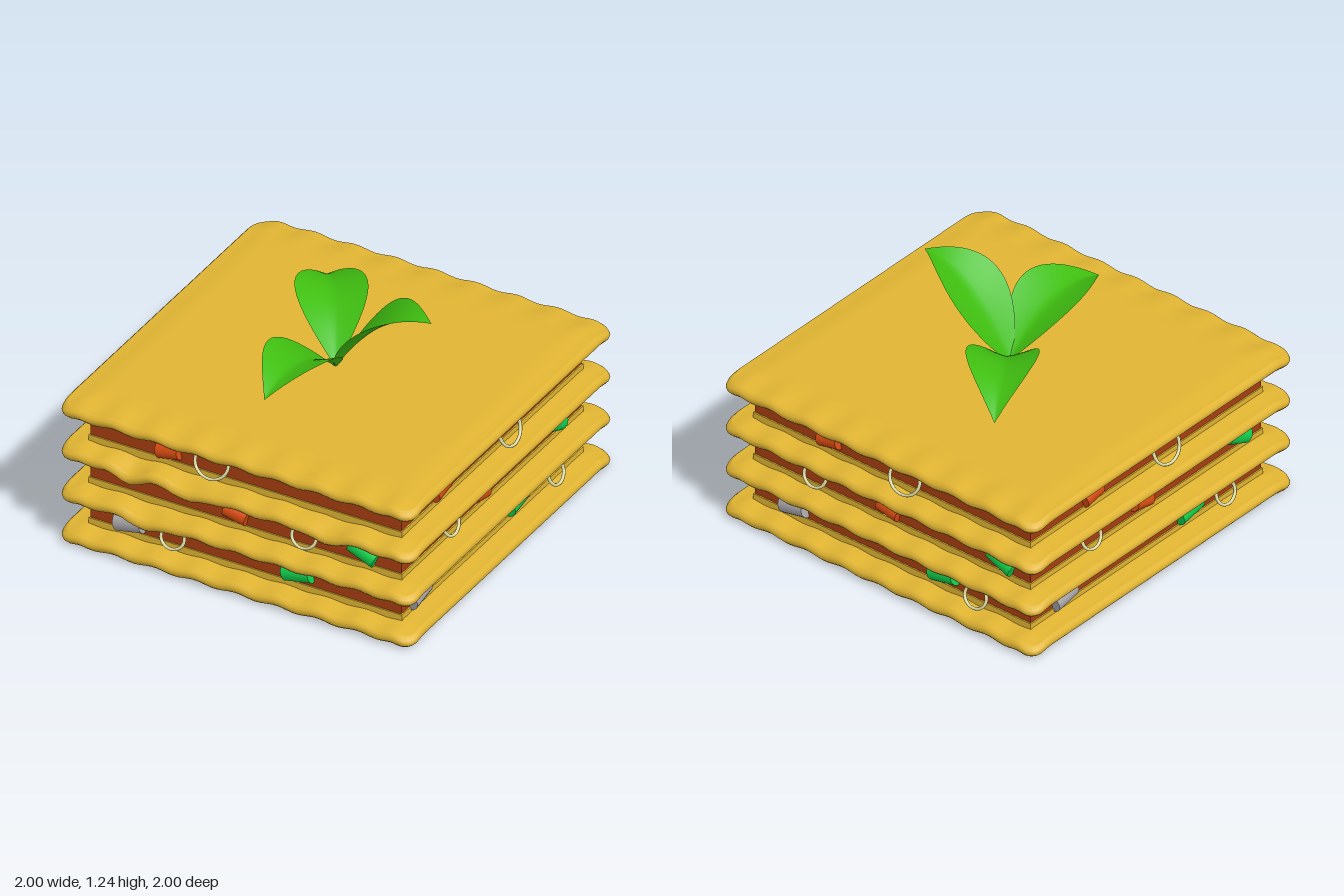
import * as THREE from 'three';
import { mergeVertices } from 'three/addons/utils/BufferGeometryUtils.js';
import { ParametricGeometry } from 'three/addons/geometries/ParametricGeometry.js';

const mat = (name, color, side = THREE.FrontSide) => {
  const m = new THREE.MeshStandardMaterial({ color, side });
  m.name = name;
  return m;
};

const ramp = (v, a, b) => THREE.MathUtils.smoothstep(Math.abs(v), a, b);

// Pasta sheet: rounded corners, drooping rim, ruffled front and back edges
function sheetGeometry(thickness, dips) {
  const box = new THREE.BoxGeometry(2, thickness, 2, 72, 4, 48);
  box.deleteAttribute('normal');
  box.deleteAttribute('uv');
  const geo = mergeVertices(box);
  const p = geo.attributes.position;
  const spread = (v) => Math.sign(v) * (1 - Math.pow(1 - Math.abs(v), 1.35));
  const r = 0.08;
  for (let i = 0; i < p.count; i++) {
    let x = spread(p.getX(i)), z = spread(p.getZ(i));
    const y = p.getY(i);
    const dx = Math.abs(x) - (1 - r), dz = Math.abs(z) - (1 - r);
    if (dx > 0 && dz > 0) {
      const k = Math.max(dx, dz) / Math.hypot(dx, dz);
      x = Math.sign(x) * (1 - r + dx * k);
      z = Math.sign(z) * (1 - r + dz * k);
    }
    const ex = ramp(x, 0.86, 1), ez = ramp(z, 0.86, 1);
    let drop = 0.014 * Math.max(ex, ez) + 0.022 * ex * ez;
    drop += 0.007 * (1 - Math.cos(x * 27)) * ramp(z, 0.75, 1) * (1 - ex);
    // deeper sagging folds along the front edge
    for (const d of dips) {
      if (z > 0) drop += 0.038 * ez * Math.max(0, 1 - Math.abs(x - d) / 0.13);
    }
    const inset = 1 - 0.018 * Math.pow(2 * y / thickness, 2);
    p.setXYZ(i, x * inset, y - drop, z * inset);
  }
  geo.computeVertexNormals();
  return geo;
}

// Arching leaf folded along its midrib; skew moves the widest point to the base
function leafGeometry(length, rise, bend, skew) {
  return new ParametricGeometry((u, v, out) => {
    const s = v * 2 - 1;
    const w = 0.18 * Math.max(0, Math.sin(Math.PI * Math.pow(u, skew)));
    const y = 0.81 + rise * u - bend * u * u;
    out.set(length * u, y + 0.4 * w * Math.pow(Math.abs(s), 1.3), -s * w);
  }, 24, 12);
}

export function createModel() {
  const model = new THREE.Group();
  const pasta = mat('pasta', 0xe0b432);
  const sauce = mat('sauce', 0xa63d10);
  const carrot = mat('carrot', 0xd64a10);
  const pepper = mat('green pepper', 0x10d04c);
  const onion = mat('grey vegetable', 0xaaa6aa);
  const ringMat = mat('pale ring', 0xdedaa2);
  const leafMat = mat('leaf', 0x3fbe10, THREE.DoubleSide);

  const add = (name, geo, material, parent = model) => {
    const mesh = new THREE.Mesh(geo, material);
    mesh.name = name;
    parent.add(mesh);
    return mesh;
  };

  // Pasta sheets
  const tops = [0.095, 0.33, 0.575, 0.82];
  const dips = [[], [-0.5], [-0.62, -0.26, 0.5], []];
  tops.forEach((top, i) => {
    add('pastaSheet', sheetGeometry(0.058, dips[i]), pasta).position.y = top - 0.029;
  });

  // Sauce fillings, each on a thin raised pasta bed
  const slab = (name, width, low, high, material) => {
    add(name, new THREE.BoxGeometry(width, high - low, width), material).position.y = (low + high) / 2;
  };
  for (let i = 0; i < 3; i++) {
    const bed = tops[i] + 0.026;
    slab('pastaBed', 1.765, tops[i] - 0.02, bed, pasta);
    slab('sauceLayer', 1.75, bed, tops[i + 1] - 0.03, sauce);
  }

  // Vegetable chunks on every side: [material, across, height, length, roll]
  const chunks = [
    [carrot, -0.44, 0.65, 0.125, 0.2], [carrot, -0.06, 0.41, 0.125, -0.2],
    [pepper, 0.66, 0.425, 0.15, -0.4], [pepper, 0.29, 0.185, 0.155, 0.2],
    [onion, -0.66, 0.167, 0.15, 0.2],
  ];
  // Vegetable rings: [across, height, half width]
  const frontRings = [[-0.17, 0.685, 0.1], [0.35, 0.425, 0.073], [-0.39, 0.18, 0.07]];
  const otherRings = [[0.11, 0.66, 0.1], [-0.46, 0.43, 0.073], [0.56, 0.16, 0.072]];
  const shifts = [0.01, -0.07, 0.045, 0.02];
  ['front', 'left', 'back', 'right'].forEach((name, side) => {
    const group = new THREE.Group();
    group.name = name + 'Vegetables';
    group.rotation.y = side * Math.PI / 2;
    model.add(group);
    for (const [material, across, y, length, roll] of chunks) {
      const radius = length * 0.34;
      const geo = new THREE.CylinderGeometry(radius, radius, length, 20).rotateZ(Math.PI / 2);
      const chunk = add('vegetableChunk', geo, material, group);
      chunk.position.set(across + shifts[side], y, 0.875);
      chunk.rotation.z = roll;
    }
    for (const [across, y, radius] of side === 0 ? frontRings : otherRings) {
      const geo = new THREE.TorusGeometry(radius * 0.93, 0.009, 8, 32).scale(1, 0.9, 1);
      const ring = add('vegetableRing', geo, ringMat, group);
      ring.position.set(across, y, 0.915);
      ring.rotation.x = -0.35;
    }
  });

  // Sprig of three leaves: [turn, length, rise, bend, skew]
  const leaves = [
    [0, 0.54, 0.87, 0.45, 0.7],
    [-1.6, 0.66, 0.66, 0.495, 0.87],
    [2.16, 0.69, 0.71, 0.615, 0.9],
  ];
  const sprig = new THREE.Group();
  sprig.name = 'leafSprig';
  sprig.position.set(0.015, 0, 0.03);
  model.add(sprig);
  for (const [turn, ...shape] of leaves) {
    add('leaf', leafGeometry(...shape), leafMat, sprig).rotation.y = turn;
  }

  return model;
}
